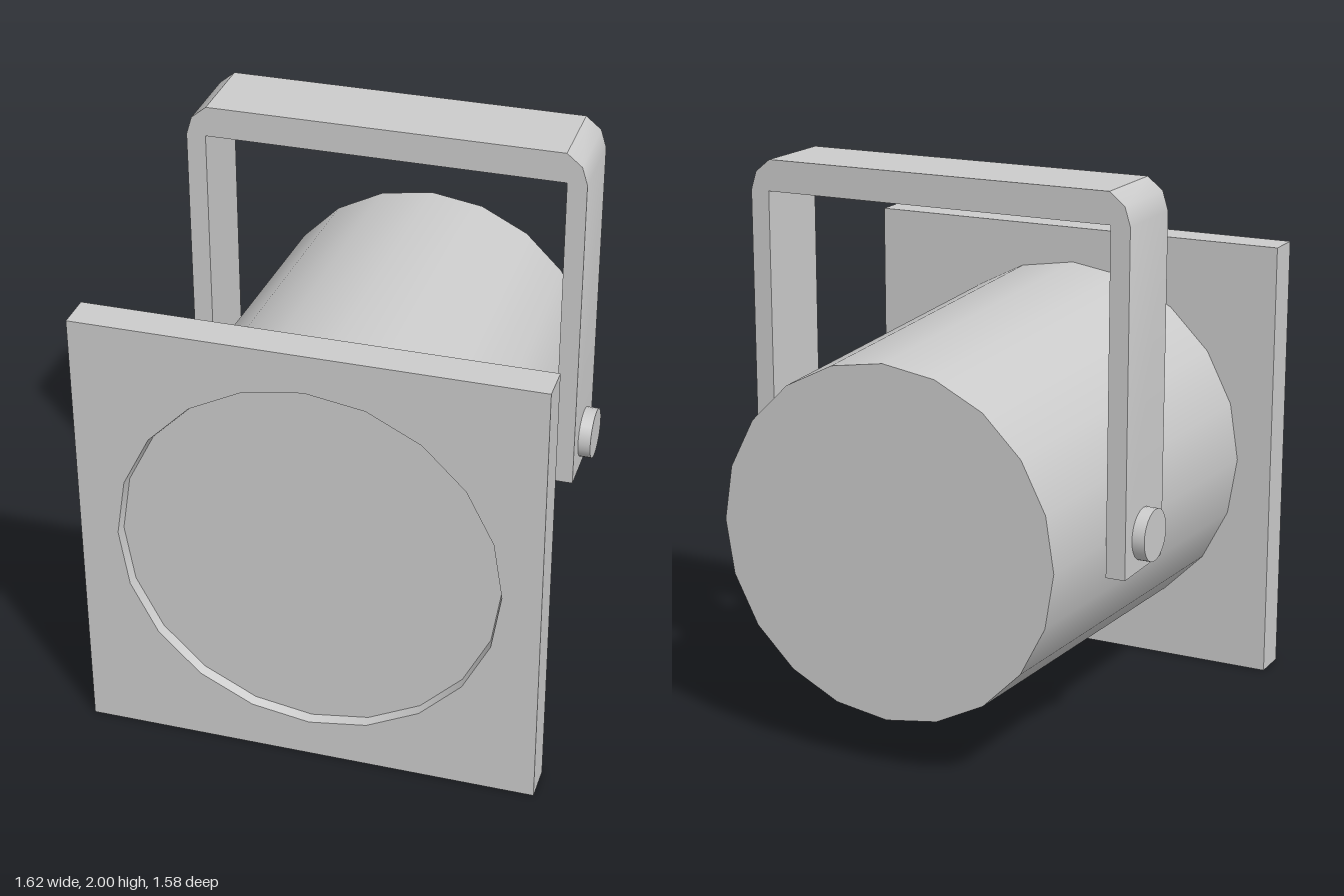
import * as THREE from 'three';
import { toCreasedNormals } from 'three/addons/utils/BufferGeometryUtils.js';

const SIDES = 20;
const AXIS_Y = 0.813;   // height of the lamp's axis
const FRONT = 0.79, PANEL_BACK = 0.66, BACK = -0.79;

export function createModel() {
  const model = new THREE.Group();
  const material = new THREE.MeshStandardMaterial({ color: 0xcccccc });
  const doubleSided = new THREE.MeshStandardMaterial({ color: 0xcccccc, side: THREE.DoubleSide });

  const add = (name, geometry, x = 0, y = 0, z = 0, mat = material) => {
    const mesh = new THREE.Mesh(geometry, mat);
    mesh.name = name;
    mesh.position.set(x, y, z);
    model.add(mesh);
    return mesh;
  };

  // Square front plate with a round opening
  const plate = new THREE.Shape([
    [-0.81, 0], [0.81, 0], [0.81, 1.625], [-0.81, 1.625],
  ].map(([x, y]) => new THREE.Vector2(x, y)));
  plate.holes.push(new THREE.Path().absarc(0, AXIS_Y, 0.675, 0, Math.PI * 2, true));
  add('frontPlate', new THREE.ExtrudeGeometry(plate, {
    depth: FRONT - PANEL_BACK, bevelEnabled: false, curveSegments: SIDES / 2,
  }), 0, 0, PANEL_BACK);

  // Shallow tapered recess and lens
  const recessDepth = 0.035;
  const recess = new THREE.CylinderGeometry(0.675, 0.667, recessDepth, SIDES, 1, true).rotateX(Math.PI / 2);
  add('lensRim', recess, 0, AXIS_Y, FRONT - recessDepth / 2, doubleSided);
  add('lens', new THREE.CircleGeometry(0.668, SIDES), 0, AXIS_Y, FRONT - recessDepth);

  // Tapered barrel, closed at the back
  const barrel = new THREE.CylinderGeometry(0.68, 0.625, PANEL_BACK - BACK, SIDES).rotateX(Math.PI / 2);
  add('barrel', barrel, 0, AXIS_Y, (PANEL_BACK + BACK) / 2);

  // Hanging yoke: one half outline, mirrored
  const outer = [[0.715, 0.69], [0.715, 1.89], [0.695, 1.955], [0.64, 2]];
  const inner = [[0.645, 1.89], [0.645, 0.69]];
  const mirror = (points) => points.map(([x, y]) => [-x, y]).reverse();
  const outline = [...outer, ...mirror(outer), ...mirror(inner), ...inner];
  const yoke = new THREE.ExtrudeGeometry(
    new THREE.Shape(outline.map(([x, y]) => new THREE.Vector2(x, y))),
    { depth: 0.305, bevelEnabled: false },
  );
  add('yoke', toCreasedNormals(yoke, 0.65), 0, 0, -0.43);

  // Pivot knobs on both sides
  for (const side of [1, -1]) {
    const knob = new THREE.CylinderGeometry(0.092, 0.092, 0.1, 24).rotateZ(Math.PI / 2);
    add(side > 0 ? 'leftKnob' : 'rightKnob', knob, side * 0.71, 0.815, -0.285);
  }

  return model;
}
